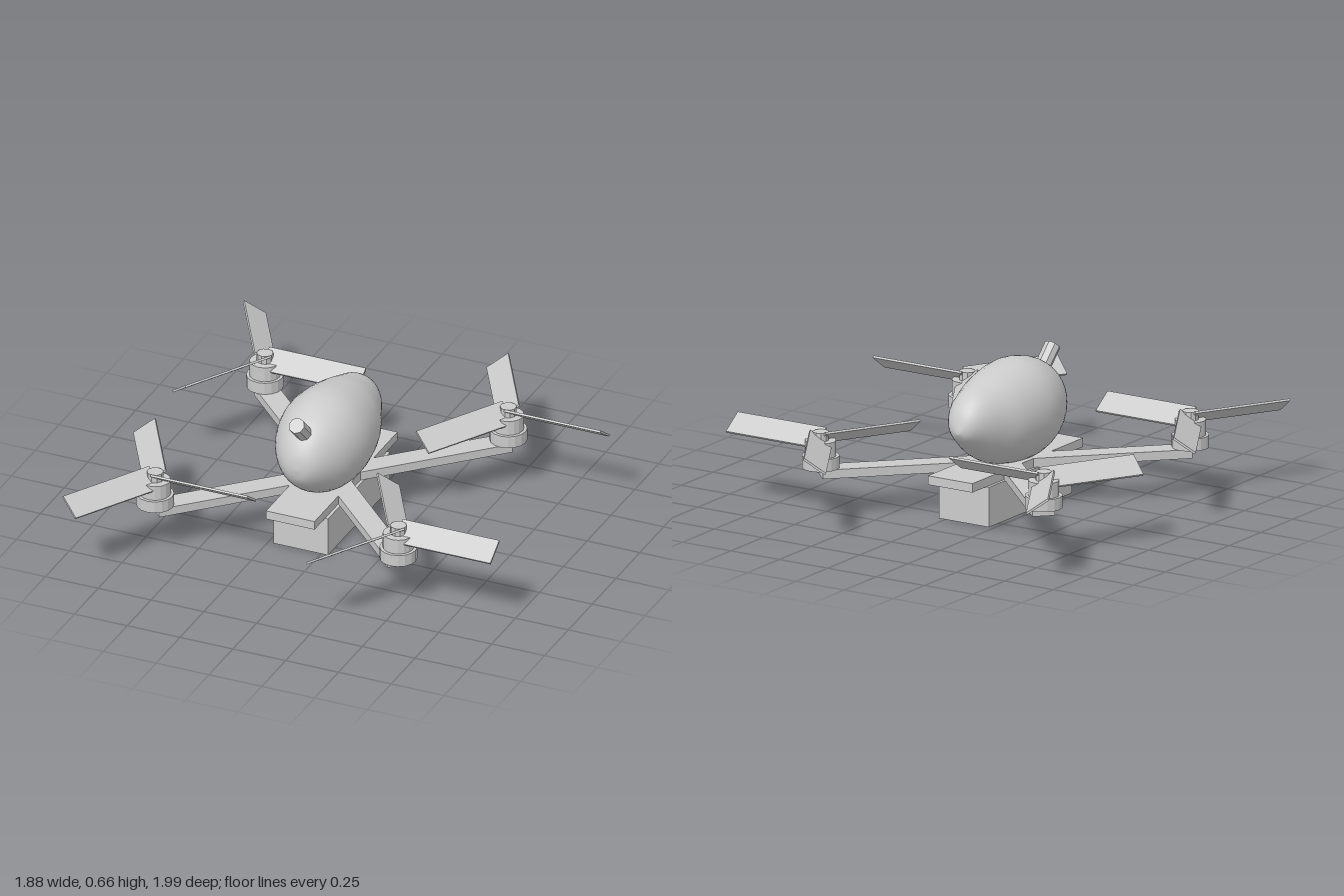
import * as THREE from 'three';
import { mergeVertices } from 'three/addons/utils/BufferGeometryUtils.js';

const grey = new THREE.MeshStandardMaterial({ color: 0xcccccc });
const flat = new THREE.MeshStandardMaterial({ color: 0xcccccc, flatShading: true });

function part(name, geometry, x, y, z, material = flat) {
  const mesh = new THREE.Mesh(geometry, material);
  mesh.name = name;
  mesh.position.set(x, y, z);
  return mesh;
}

// Egg-shaped shell lofted along z: each section is [z, half width, bottom y, top y]
function shellGeometry() {
  const sections = [
    [0.37, 0, 0.41, 0.41], [0.355, 0.06, 0.35, 0.48], [0.3, 0.12, 0.285, 0.56],
    [0.2, 0.178, 0.22, 0.623], [0.07, 0.205, 0.193, 0.65], [-0.1, 0.184, 0.212, 0.624],
    [-0.2, 0.147, 0.252, 0.594], [-0.287, 0.107, 0.315, 0.56], [-0.35, 0.06, 0.367, 0.495],
    [-0.38, 0, 0.41, 0.41],
  ];
  const sizes = new THREE.CatmullRomCurve3(sections.map(([z, w, b, t]) => new THREE.Vector3(z, w, (t - b) / 2)));
  const middles = new THREE.CatmullRomCurve3(sections.map(([z, , b, t]) => new THREE.Vector3(z, (t + b) / 2, 0)));
  const geo = new THREE.CylinderGeometry(1, 1, 1, 32, 36, true);
  geo.rotateX(Math.PI / 2);
  const p = geo.attributes.position;
  for (let i = 0; i < p.count; i++) {
    const t = THREE.MathUtils.clamp(0.5 - p.getZ(i), 0, 1);
    const s = sizes.getPoint(t), m = middles.getPoint(t);
    p.setXYZ(i, p.getX(i) * s.y, m.y + p.getY(i) * s.z, s.x);
  }
  geo.deleteAttribute('uv');
  geo.deleteAttribute('normal');
  const merged = mergeVertices(geo, 1e-4);
  merged.computeVertexNormals();
  return merged;
}

// Three pitched blades round a small hub; spin sets the pitch direction
function makeRotor(spin) {
  const rotor = new THREE.Group();
  rotor.name = 'rotor';
  rotor.add(part('hub', new THREE.CylinderGeometry(0.036, 0.036, 0.05, 10), 0, 0.355, 0));
  for (let i = 0; i < 3; i++) {
    const arm = new THREE.Group();
    arm.name = 'bladeMount';
    const blade = part('blade', new THREE.BoxGeometry(0.457, 0.01, 0.115), 0.2285, 0.35, 0);
    blade.rotation.x = spin * THREE.MathUtils.degToRad(35);
    arm.rotation.y = i * Math.PI * 2 / 3;
    arm.add(blade);
    rotor.add(arm);
  }
  return rotor;
}

export function createModel() {
  const model = new THREE.Group();
  model.name = 'quadcopter';
  const craft = new THREE.Group();
  craft.name = 'craft';
  craft.position.x = -0.096;
  model.add(craft);

  // Body, tilted front tube, base plate and battery
  craft.add(part('shell', shellGeometry(), 0, 0, 0, grey));
  const tube = part('frontTube', new THREE.CylinderGeometry(0.036, 0.036, 0.2, 8), 0, 0.562, 0.298);
  tube.rotation.x = Math.PI / 4;
  craft.add(tube);
  craft.add(part('basePlate', new THREE.BoxGeometry(0.23, 0.04, 0.87), 0, 0.199, 0));
  craft.add(part('battery', new THREE.BoxGeometry(0.258, 0.179, 0.65), 0, 0.0895, 0));

  // Diagonal arms, each with a stepped motor and a rotor
  const reach = 0.576, length = reach * Math.SQRT2;
  for (const sx of [-1, 1]) {
    for (const sz of [-1, 1]) {
      const x = sx * reach, z = sz * reach;
      const arm = part('arm', new THREE.BoxGeometry(length, 0.04, 0.1), x / 2, 0.199, z / 2);
      arm.rotation.y = -Math.atan2(z, x);
      craft.add(arm);
      craft.add(part('motorBase', new THREE.CylinderGeometry(0.082, 0.082, 0.055, 16), x, 0.2465, z));
      craft.add(part('motorBell', new THREE.CylinderGeometry(0.068, 0.068, 0.07, 16), x, 0.307, z));
      const rotor = makeRotor(sx * sz);
      rotor.position.set(x, 0, z);
      craft.add(rotor);
    }
  }
  return model;
}
